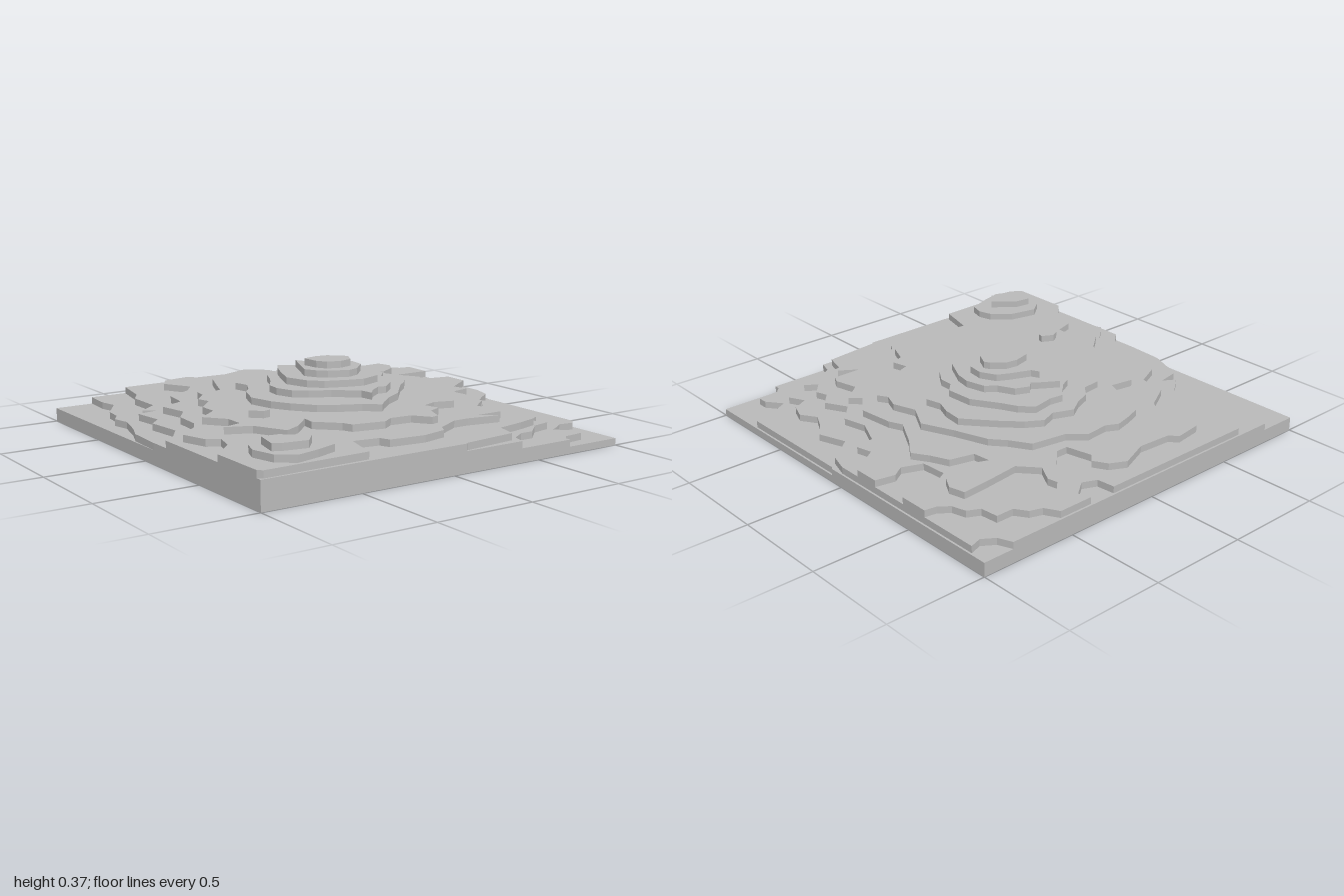
import * as THREE from 'three';

const STEP = 0.034; // thickness of one terrace sheet

// Outlines as x, z pairs in hundredths of a unit, from the base up.
const base = [-100, -100, 100, -100, 100, 100, -100, 100];

const lowland = [-100, -100, 100, -100, 100, 7, 99, 8, 99, 72, 96, 75, 88, 74, 82, 78, 78, 80,
  84, 88, 84, 93, 73, 94, 70, 97, 70, 100, -100, 100];

const lowerSlope = [-80, -100, 84, -100, 87, -93, 93, -89, 99, -91, 99, 0, 96, 10, 89, 15, 83, 20,
  88, 34, 82, 42, 78, 50, 83, 58, 80, 66, 72, 70, 76, 78, 66, 80, 57, 88, 50, 88, 42, 93, 40, 100,
  -100, 100, -100, 8, -99, -12, -95, -22, -91, -37, -93, -46, -89, -52, -88, -62, -79, -76, -81, -85];

const middleSlope = [-61, -99, 24, -99, 25, -90, 32, -87, 40, -93, 38, -99, 56, -99, 60, -92, 66, -90,
  70, -84, 79, -84, 80, -75, 86, -72, 88, -65, 93, -61, 99, -60, 99, -45, 81, -45, 72, -40, 73, -27,
  83, -23, 89, -27, 99, -25, 99, -12, 93, -8, 84, -2, 86, 6, 76, 8, 70, 22, 73, 34, 64, 44, 70, 55,
  64, 62, 66, 68, 60, 75, 66, 79, 55, 82, 40, 85, 37, 96, 8, 99, 7, 100, -100, 100, -100, 20,
  -93, 14, -87, 5, -89, -14, -83, -20, -85, -36, -74, -38, -80, -42, -70, -50, -70, -70, -65, -78];

const plateau = [-43, -88, -29, -90, -25, -86, -8, -85, 7, -91, 15, -87, 19, -80, 15, -76, 18, -63,
  24, -63, 33, -72, 44, -84, 45, -79, 40, -70, 48, -61, 66, -63, 80, -64, 82, -56, 78, -49, 68, -43,
  53, -49, 54, -40, 66, -37, 70, -28, 75, -20, 68, -10, 60, 5, 63, 12, 65, 30, 57, 41, 62, 46,
  52, 54, 55, 66, 53, 70, 38, 70, 47, 76, 30, 73, 22, 73, 9, 80, 6, 85, -7, 88, -25, 86, -27, 81,
  -40, 79, -43, 90, -45, 98, -98, 99, -100, 97, -100, 66, -88, 54, -85, 43, -91, 40, -95, 27,
  -84, 17, -80, 10, -79, -5, -72, -15, -75, -30, -62, -36, -60, -50, -46, -58, -40, -66, -48, -80];

const upperSlope = [-12, -67, -6, -64, 6, -65, 14, -58, 32, -55, 38, -45, 44, -38, 50, -21, 57, -5,
  50, 8, 54, 20, 51, 28, 54, 33, 48, 41, 40, 51, 30, 48, 22, 51, 24, 59, 17, 62, 13, 72, 9, 73,
  3, 65, -8, 64, -14, 68, -30, 65, -32, 60, -42, 50, -41, 43, -51, 53, -60, 58, -64, 50, -68, 42,
  -80, 37, -70, 34, -70, 24, -78, 14, -67, 5, -67, -5, -58, -15, -60, -22, -53, -30, -52, -37,
  -40, -35, -34, -50, -29, -62, -20, -65];

const mountainFoot = [-2, -47, 8, -43, 16, -46, 24, -41, 32, -33, 39, -25, 45, -18, 44, -8, 41, 0,
  43, 8, 38, 14, 32, 19, 25, 27, 19, 34, 9, 40, 2, 46, -3, 51, -10, 45, -21, 40, -29, 35, -37, 25,
  -42, 16, -45, 3, -40, -10, -35, -16, -31, -24, -33, -32, -23, -33, -18, -39, -10, -42];

const mountainFlank = [-4, -37, 3, -36, 14, -38, 20, -32, 24, -24, 32, -11, 33, 3, 28, 8, 28, 15,
  22, 24, 14, 31, 10, 30, 3, 35, -1, 40, -2, 33, -13, 24, -23, 19, -29, 14, -32, 5, -31, -3,
  -26, -10, -22, -17, -18, -26, -12, -29];

const shoulder = [-9, -30, -1, -25, 3, -22, 6, -25, 13, -22, 17, -14, 22, -10, 24.5, 0, 23, 8,
  17, 20, 6, 24, -2, 22, -13, 18, -19, 12, -23, 0, -18, -13, -13, -24];

const upperPeak = [-4, -21, -2, -17, 8, -13, 14, -10, 18, -2, 17, 6, 9, 14, 3, 16, -7, 12,
  -11, 8, -14, 2, -11, -5];

const summit = [-8, -7, 0, -9, 6, -8, 12, -3, 13.5, 0, 10, 7, 3, 9, -4, 7, -7, 2];

const cornerHill = [-91, 79, -88, 71, -80, 65, -66, 68, -57, 76, -55, 83, -57, 90, -68, 94, -80, 97, -88, 91];
const cornerHilltop = [-83, 73, -75, 74, -64, 83, -70, 90, -82, 88, -86, 86];
const knoll = [-61, 27, -57, 25, -51, 28, -52, 31, -56, 32, -59, 29];

// name, outline, level counted from the ground
const SHEETS = [
  ['base', base, 0],
  ['lowland', lowland, 1],
  ['lowerSlope', lowerSlope, 2],
  ['middleSlope', middleSlope, 3],
  ['plateau', plateau, 4],
  ['upperSlope', upperSlope, 5],
  ['cornerHill', cornerHill, 5],
  ['mountainFoot', mountainFoot, 6],
  ['cornerHilltop', cornerHilltop, 6],
  ['knoll', knoll, 6],
  ['mountainFlank', mountainFlank, 7],
  ['shoulder', shoulder, 8],
  ['upperPeak', upperPeak, 9],
  ['summit', summit, 10],
];

// Flat sheet cut to an outline, lying at its level
function makeSheet(outline, level) {
  const points = [];
  for (let i = 0; i < outline.length; i += 2) {
    points.push(new THREE.Vector2(outline[i] / 100, -outline[i + 1] / 100));
  }
  const geometry = new THREE.ExtrudeGeometry(new THREE.Shape(points), { depth: STEP, bevelEnabled: false });
  geometry.rotateX(-Math.PI / 2);
  geometry.translate(0, level * STEP, 0);
  return geometry;
}

export function createModel() {
  const model = new THREE.Group();
  model.name = 'terracedTerrain';
  const grey = new THREE.MeshStandardMaterial({ color: 0xb8b8b8 });
  grey.name = 'grey';
  for (const [name, outline, level] of SHEETS) {
    const mesh = new THREE.Mesh(makeSheet(outline, level), grey);
    mesh.name = name;
    model.add(mesh);
  }
  return model;
}
